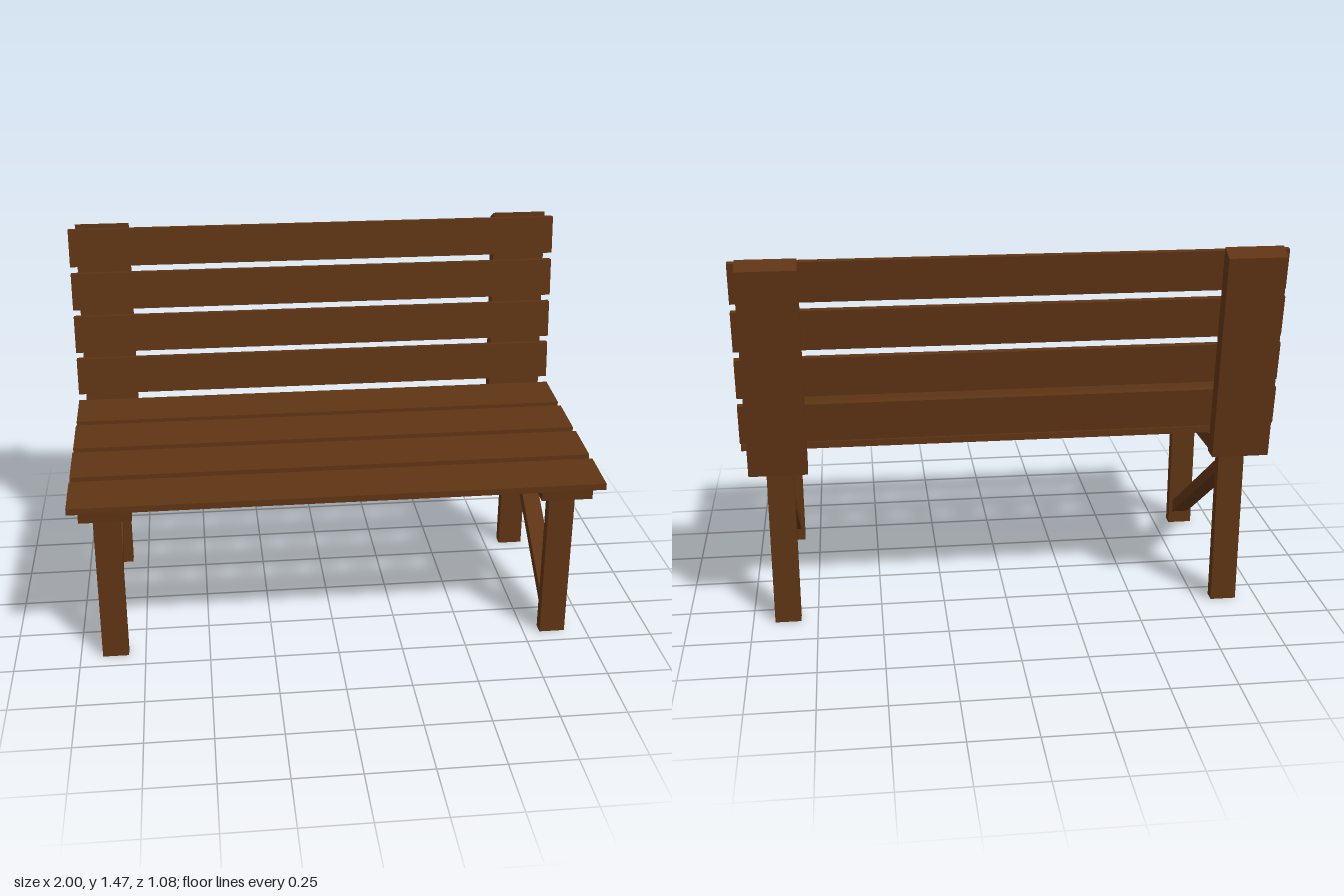
import * as THREE from 'three';

const wood = new THREE.MeshStandardMaterial({ color: 0x5e3414, flatShading: true });

// Plank with a side profile of [z, y] corners, extruded along x around centre x
function plank(name, profile, x, width) {
  const shape = new THREE.Shape(profile.map(([z, y]) => new THREE.Vector2(-z, y)));
  const geo = new THREE.ExtrudeGeometry(shape, { depth: width, bevelEnabled: false });
  geo.translate(0, 0, -width / 2).rotateY(Math.PI / 2);
  const mesh = new THREE.Mesh(geo, wood);
  mesh.name = name;
  mesh.position.x = x;
  return mesh;
}

export function createModel() {
  const bench = new THREE.Group();
  bench.name = 'bench';

  // Seat slats, each tipped slightly up towards the back
  for (let i = 0; i < 4; i++) {
    const z = 0.54 - i * 0.238, y = 0.701 + i * 0.0115;
    bench.add(plank('seatSlat', [
      [z, y], [z - 0.195, y + 0.014], [z - 0.195, y - 0.011], [z, y - 0.025],
    ], 0, 2));
  }

  // Backrest slats, leaning back with the posts
  for (let i = 0; i < 4; i++) {
    const y = 0.77 + i * 0.18, z = -0.383 - i * 0.015;
    bench.add(plank('backSlat', [
      [z, y], [z - 0.016, y + 0.15], [z - 0.043, y + 0.148], [z - 0.025, y - 0.002],
    ], 0, 2));
  }

  // Side frames
  for (const side of [-1, 1]) {
    const frame = new THREE.Group();
    frame.name = side > 0 ? 'leftFrame' : 'rightFrame';
    const x = side * 0.865;
    frame.add(
      plank('seatRail', [[0.505, 0.676], [-0.41, 0.722], [-0.41, 0.661], [0.5, 0.62]], x, 0.195),
      plank('backPost', [[-0.402, 0.663], [-0.481, 1.474], [-0.541, 1.445], [-0.465, 0.66]], x, 0.215),
      plank('frontLeg', [[0.433, 0], [0.436, 0.64], [0.39, 0.64], [0.387, 0]], x, 0.1),
      plank('backLeg', [[-0.31, 0], [-0.307, 0.67], [-0.352, 0.67], [-0.356, 0]], x, 0.1),
      plank('brace', [[0.39, 0.105], [-0.31, 0.6], [-0.31, 0.545], [0.39, 0.05]], x, 0.07),
    );
    bench.add(frame);
  }
  return bench;
}
